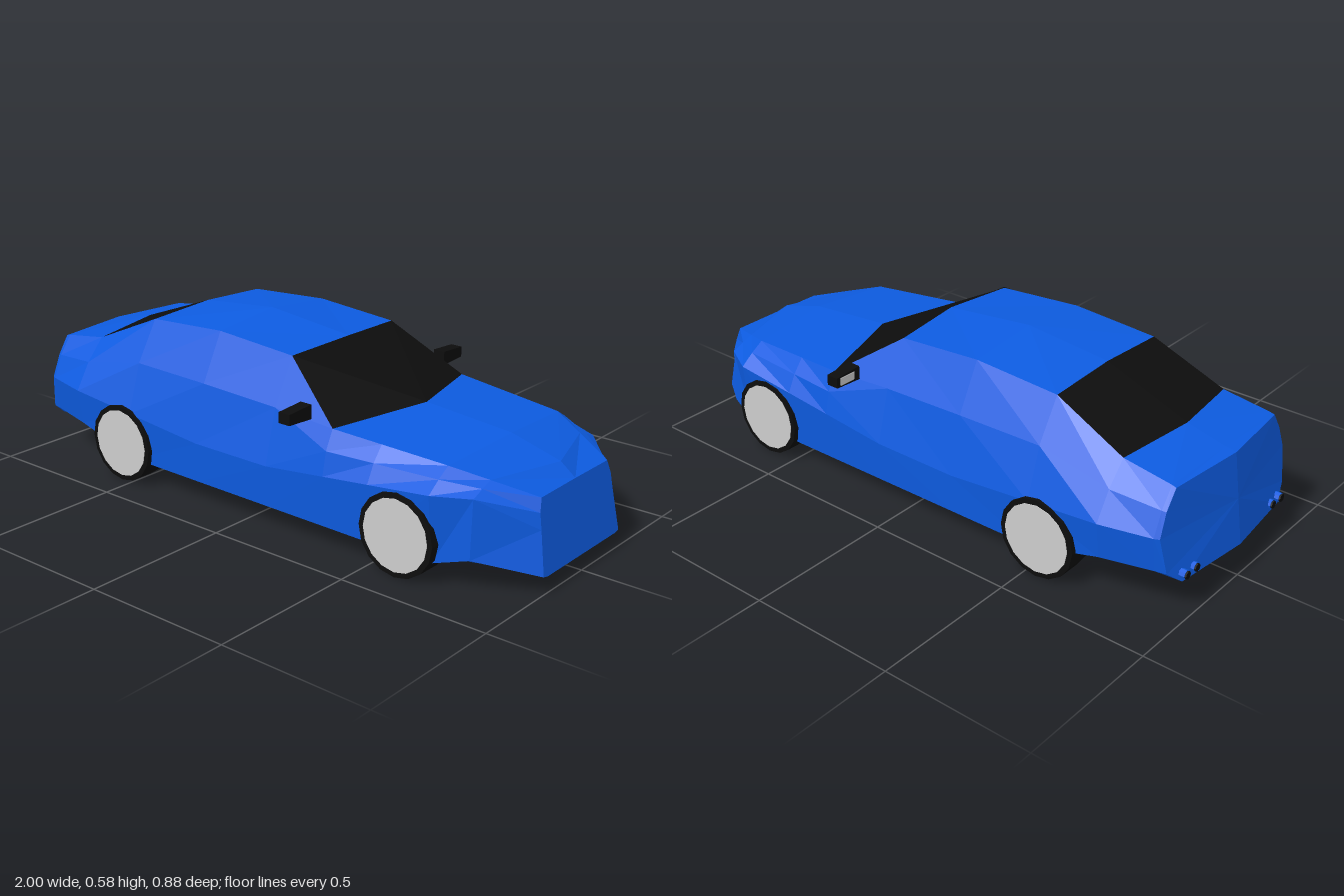
import * as THREE from 'three';

const mat = (name, color) => {
  const m = new THREE.MeshStandardMaterial({ color });
  m.name = name;
  return m;
};

// Stations run from tail to nose.
const STATIONS = [-0.945, -0.915, -0.75, -0.5, -0.2, 0.1, 0.33, 0.5, 0.72, 0.83, 0.965];
const LAST = STATIONS.length - 1;

// Lengthwise lines of one side: x, height, half width
const FLOOR = [[-0.945, 0.11, 0.27], [-0.915, 0.16, 0.27], [-0.5, 0.08, 0.33],
  [0.5, 0.07, 0.33], [0.72, 0.04, 0.25], [0.965, 0.052, 0.19]];
const SILL = [[-0.945, 0.155, 0.325], [-0.75, 0.15, 0.372], [-0.5, 0.08, 0.372],
  [0.5, 0.07, 0.37], [0.72, 0.07, 0.365], [0.83, 0.1, 0.335], [0.965, 0.056, 0.212]];
const WAIST = [[-0.945, 0.27, 0.34], [-0.75, 0.27, 0.388], [-0.2, 0.21, 0.378],
  [0.1, 0.21, 0.378], [0.72, 0.285, 0.387], [0.83, 0.285, 0.328], [0.965, 0.19, 0.2]];
const EDGE = [[-0.945, 0.405, 0.27], [-0.75, 0.432, 0.268], [-0.5, 0.54, 0.25], [-0.2, 0.557, 0.252],
  [0.1, 0.535, 0.25], [0.33, 0.376, 0.334], [0.72, 0.348, 0.295], [0.965, 0.28, 0.183]];
// Centre line: x, height, lengthwise bow
const CENTRE = [[-0.945, 0.408, 0], [-0.75, 0.445, -0.04], [-0.5, 0.552, 0], [-0.2, 0.58, 0],
  [0.1, 0.546, 0.02], [0.33, 0.393, 0.1], [0.72, 0.367, 0.02], [0.83, 0.32, 0.08], [0.965, 0.281, 0]];

function sample(line, x) {
  let k = 1;
  while (k < line.length - 1 && line[k][0] < x) k++;
  const [a, b] = [line[k - 1], line[k]];
  const t = (x - a[0]) / (b[0] - a[0]);
  return [a[1] + (b[1] - a[1]) * t, a[2] + (b[2] - a[2]) * t];
}

// The tail leans forward and wraps round; the nose leans back.
const tailPoint = (y, z) => [-1 + (y - 0.11) * 0.14 + z * z * 0.4, y, z];
const nosePoint = (y, z) => [1 - (y - 0.05) * 0.17, y, z];

// Half cross-section from floor centre up to roof centre
function section(x, i) {
  const [floor, sill, waist, edge, centre] = [FLOOR, SILL, WAIST, EDGE, CENTRE].map((l) => sample(l, x));
  const bulge = 0.07 * (edge[0] - waist[0]);
  const shoulder = [waist[0] + (edge[0] - waist[0]) * 0.55, waist[1] + (edge[1] - waist[1]) * 0.55 + bulge];
  const points = [[floor[0], 0], floor, sill, waist, shoulder, edge, [centre[0], 0]];
  return points.map(([y, z], j) => {
    if (i === 0) return tailPoint(y, z);
    if (i === LAST) return nosePoint(y, z);
    return [j === points.length - 1 ? x + centre[1] : x, y, z];
  });
}

// Adds a triangle to both sides of the car.
function addTri(list, a, b, c) {
  const flip = ([x, y, z]) => [x, y, -z];
  list.push(...a, ...b, ...c, ...flip(a), ...flip(c), ...flip(b));
}

function meshFrom(list, material, name) {
  const g = new THREE.BufferGeometry();
  g.setAttribute('position', new THREE.Float32BufferAttribute(list, 3));
  g.computeVertexNormals();
  const m = new THREE.Mesh(g, material);
  m.name = name;
  return m;
}

function add(parent, geometry, material, name, x, y, z) {
  const m = new THREE.Mesh(geometry, material);
  m.name = name;
  m.position.set(x, y, z);
  parent.add(m);
}

// Short cylinder along an axis, with flat sides
function disc(radius, depth, sides, axis) {
  const g = new THREE.CylinderGeometry(radius, radius, depth, sides).toNonIndexed();
  if (axis === 'z') g.rotateX(Math.PI / 2);
  else g.rotateZ(Math.PI / 2);
  g.computeVertexNormals();
  return g;
}

export function createModel() {
  const blue = mat('bodyBlue', 0x0d5be0);
  const black = mat('black', 0x0d0d0d);
  const silver = mat('silver', 0xcccccc);
  const car = new THREE.Group();
  car.name = 'car';

  // Body shell, with the two windows taken from its top strip
  const shell = [], windscreen = [], rearWindow = [];
  const rings = STATIONS.map(section);
  const top = rings[0].length - 2;
  for (let i = 0; i < LAST; i++) {
    for (let j = 0; j <= top; j++) {
      let list = shell;
      if (j === top && STATIONS[i] === 0.1) list = windscreen;
      if (j === top && STATIONS[i] === -0.75) list = rearWindow;
      const a = rings[i][j], b = rings[i + 1][j];
      const c = rings[i + 1][j + 1], d = rings[i][j + 1];
      addTri(list, a, b, c);
      addTri(list, a, c, d);
    }
  }
  // Tail and nose panels
  for (let j = 0; j <= top; j++) {
    addTri(shell, tailPoint(0.26, 0), rings[0][j], rings[0][j + 1]);
    addTri(shell, nosePoint(0.17, 0), rings[LAST][j + 1], rings[LAST][j]);
  }
  car.add(meshFrom(shell, blue, 'body'), meshFrom(windscreen, black, 'windscreen'),
    meshFrom(rearWindow, black, 'rearWindow'));

  // Wheels
  const tyreGeo = disc(0.132, 0.082, 16, 'z');
  const rimGeo = disc(0.115, 0.006, 16, 'z');
  for (const [name, x] of [['rearWheel', -0.54], ['frontWheel', 0.608]]) {
    for (const s of [1, -1]) {
      const wheel = new THREE.Group();
      wheel.name = name;
      wheel.position.set(x, 0.132, s * 0.35);
      add(wheel, tyreGeo, black, 'tyre', 0, 0, 0);
      add(wheel, rimGeo, silver, 'rim', 0, 0, s * 0.04);
      car.add(wheel);
    }
  }

  // Door mirrors, slimmer towards the tip
  const housingGeo = new THREE.BoxGeometry(0.042, 0.046, 0.1);
  const p = housingGeo.attributes.position;
  for (let k = 0; k < p.count; k++) {
    if (p.getZ(k) > 0) p.setY(k, p.getY(k) * 0.75);
  }
  housingGeo.computeVertexNormals();
  const glassGeo = new THREE.BoxGeometry(0.004, 0.026, 0.06);
  const pipeGeo = disc(0.015, 0.07, 8, 'x');
  const tipGeo = disc(0.013, 0.006, 8, 'x');
  for (const s of [1, -1]) {
    const mirror = new THREE.Group();
    mirror.name = 'doorMirror';
    mirror.position.set(0.232, 0.413, s * 0.39);
    mirror.rotation.y = s < 0 ? Math.PI : 0;
    add(mirror, housingGeo, black, 'mirrorHousing', 0, 0, 0);
    add(mirror, glassGeo, silver, 'mirrorGlass', -s * 0.021, 0, 0.005);
    car.add(mirror);

    // Twin exhaust tips
    for (const z of [0.215, 0.265]) {
      add(car, pipeGeo, blue, 'exhaustPipe', -0.947, 0.135, s * z);
      add(car, tipGeo, black, 'exhaustTip', -0.984, 0.135, s * z);
    }
  }
  return car;
}
